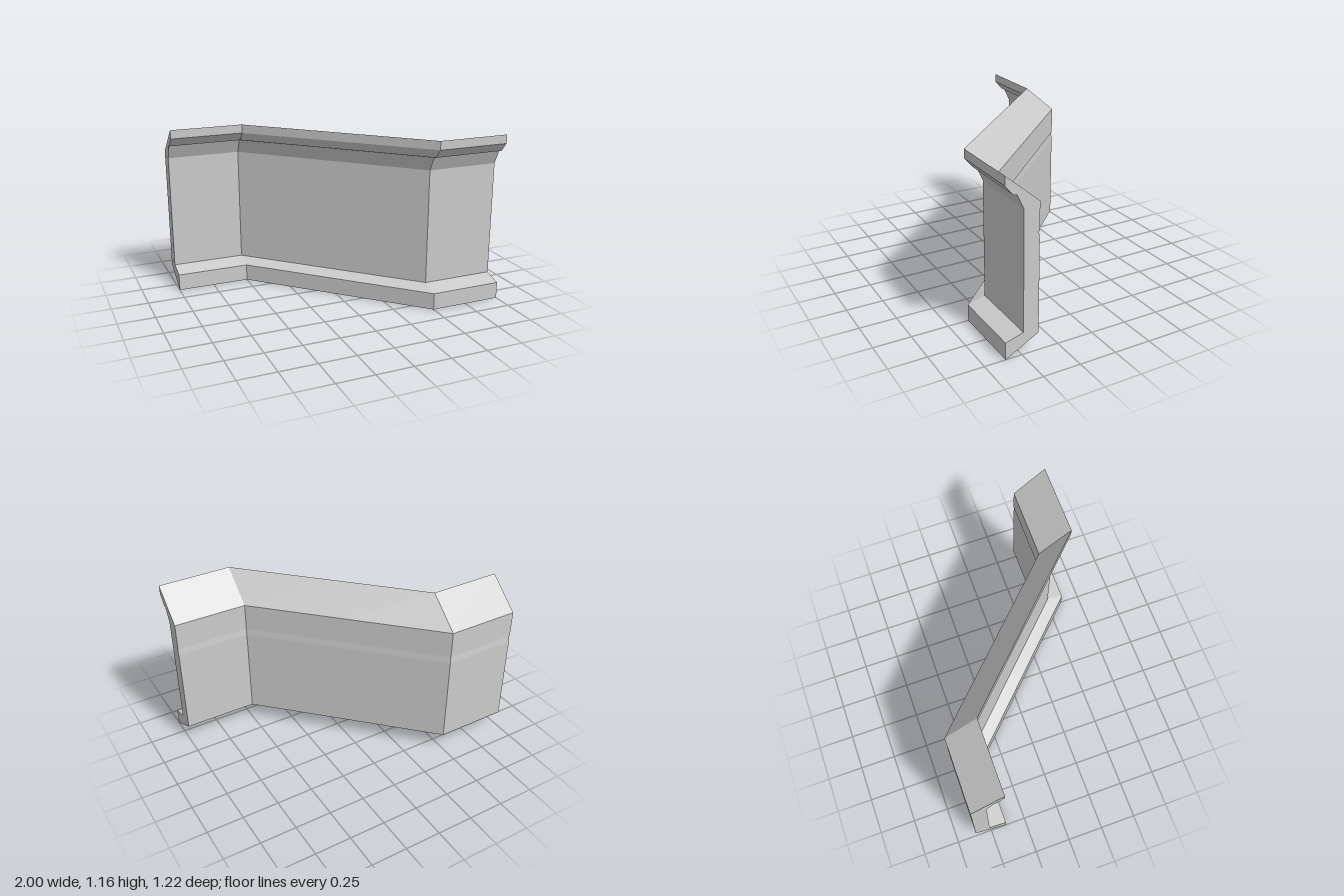
import * as THREE from 'three';

const material = new THREE.MeshStandardMaterial({ color: 0xcccccc, flatShading: true });

// Sweeps a [z, y] cross-section along x; the middle half shifts diagonally in z.
function sweep(name, section) {
  const shape = new THREE.Shape(section.map(([z, y]) => new THREE.Vector2(-z, y)));
  const geometry = new THREE.ExtrudeGeometry(shape, { depth: 2, steps: 4, bevelEnabled: false });
  geometry.rotateY(Math.PI / 2).translate(-1, 0, 0);
  const p = geometry.attributes.position;
  for (let i = 0; i < p.count; i++) {
    p.setZ(i, p.getZ(i) + THREE.MathUtils.clamp(p.getX(i), -0.5, 0.5));
  }
  geometry.computeVertexNormals();
  const mesh = new THREE.Mesh(geometry, material);
  mesh.name = name;
  return mesh;
}

export function createModel() {
  const group = new THREE.Group();
  group.name = 'angledWall';

  // Wall with projecting foot, overhanging top lip and a slot along the back
  group.add(sweep('wallBody', [
    [0.11, 0], [0.11, 0.115], [-0.01, 0.15],
    [-0.01, 0.94], [0.035, 1.035], [0.06, 1.04], [0.11, 1.10], [0.11, 1.16],
    [-0.113, 0.97],
    [-0.113, 0.785], [-0.095, 0.785], [-0.095, 0.735], [-0.113, 0.735],
    [-0.113, 0.12],
  ]));

  // Trim band set into the back slot, tilted slightly upward
  group.add(sweep('trimBand', [
    [-0.095, 0.735], [-0.095, 0.785], [-0.107, 0.785], [-0.113, 0.735],
  ]));

  return group;
}
